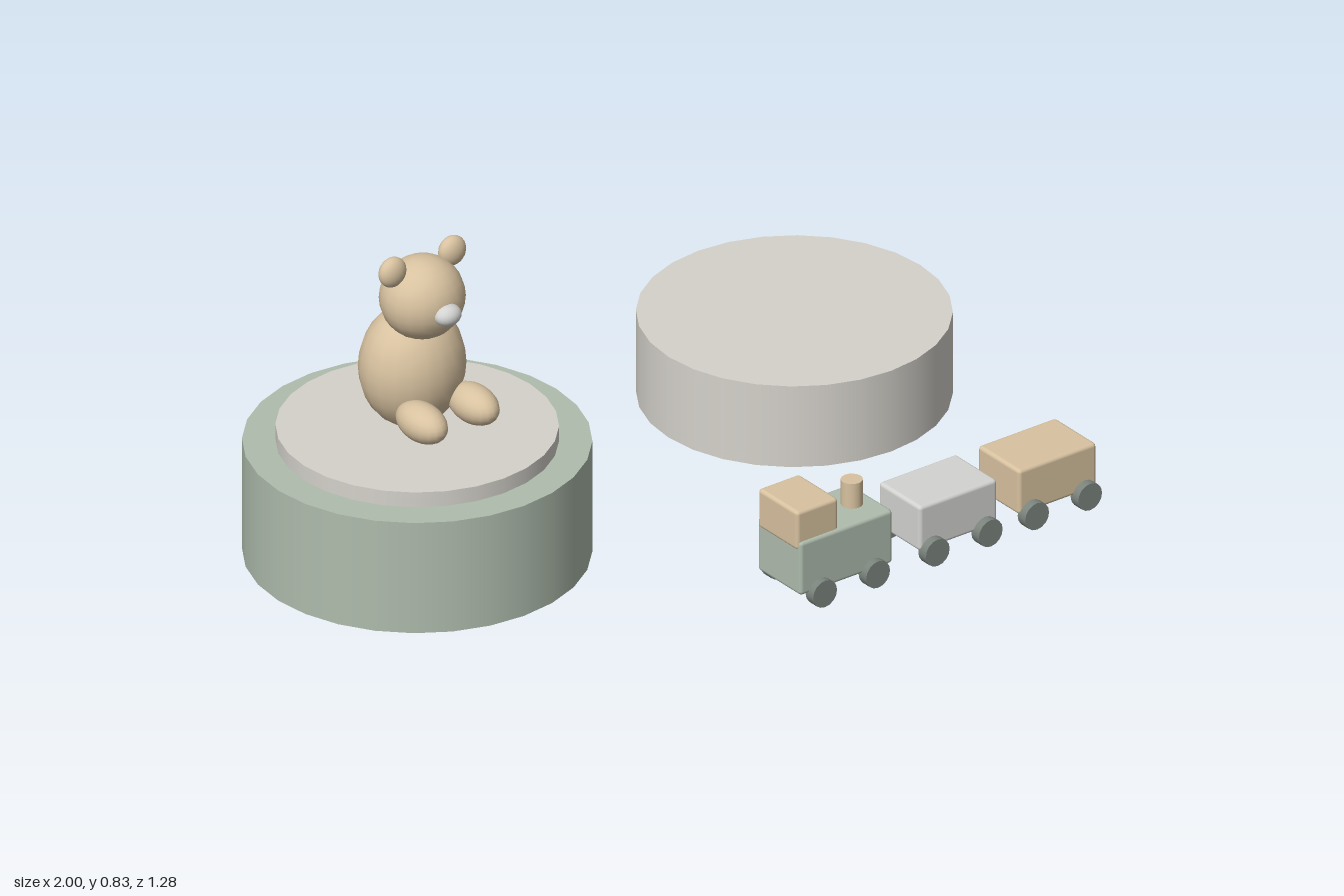
import * as THREE from 'three';
import { RoundedBoxGeometry } from 'three/addons/geometries/RoundedBoxGeometry.js';

const material = (name, color) => {
  const m = new THREE.MeshStandardMaterial({ color });
  m.name = name;
  return m;
};

export function createModel() {
  const sage = material('sage green', 0xafbcad);
  const stone = material('warm stone grey', 0xd5d2cb);
  const tan = material('tan', 0xd8c2a0);
  const silver = material('pale grey', 0xd3d4d1);
  const wheelGrey = material('wheel grey', 0x7c847e);

  const group = (name, parent) => {
    const g = new THREE.Group();
    g.name = name;
    if (parent) parent.add(g);
    return g;
  };
  const add = (parent, name, geometry, mat, x, y, z) => {
    const mesh = new THREE.Mesh(geometry, mat);
    mesh.name = name;
    mesh.position.set(x, y, z);
    parent.add(mesh);
    return mesh;
  };
  // Upright disc standing on height y
  const disc = (parent, name, mat, r, h, x, y, z, sides = 28) =>
    add(parent, name, new THREE.CylinderGeometry(r, r, h, sides), mat, x, y + h / 2, z);
  const ellipsoid = (parent, name, mat, rx, ry, rz, x, y, z) =>
    add(parent, name, new THREE.SphereGeometry(1, 20, 14).scale(rx, ry, rz), mat, x, y, z);
  const block = (parent, name, mat, w, h, d, x, y, z) =>
    add(parent, name, new RoundedBoxGeometry(w, h, d, 2, 0.01), mat, x, y, z);

  const model = group('toyDisplay');

  // Round plinths
  const plinths = group('plinths', model);
  disc(plinths, 'bearPlinth', sage, 0.42, 0.3, -0.58, 0, -0.18);
  disc(plinths, 'bearPlinthTop', stone, 0.34, 0.04, -0.58, 0.3, -0.18);
  disc(plinths, 'emptyPlinth', stone, 0.38, 0.22, 0.62, 0, -0.26);

  // Seated bear
  const bear = group('bear', model);
  bear.position.set(-0.58, 0, 0);
  ellipsoid(bear, 'body', tan, 0.135, 0.16, 0.122, 0, 0.5, -0.2);
  ellipsoid(bear, 'head', tan, 0.106, 0.105, 0.102, 0, 0.7, -0.16);
  ellipsoid(bear, 'muzzle', silver, 0.036, 0.027, 0.03, 0, 0.692, -0.06);
  for (const [side, s] of [['left', 1], ['right', -1]]) {
    ellipsoid(bear, side + 'Ear', tan, 0.038, 0.039, 0.025, s * 0.09, 0.795, -0.16);
    ellipsoid(bear, side + 'Leg', tan, 0.05, 0.048, 0.081, s * 0.078, 0.425, -0.06);
  }

  // Toy train
  const train = group('train', model);
  train.position.z = 0.54;
  const wheelGeometry = new THREE.CylinderGeometry(0.036, 0.036, 0.03, 16).rotateX(Math.PI / 2);
  const carriage = (name, x) => {
    const car = group(name, train);
    car.position.x = x;
    for (const wx of [-0.08, 0.08])
      for (const wz of [-0.089, 0.089]) add(car, 'wheel', wheelGeometry, wheelGrey, wx, 0.036, wz);
    return car;
  };

  const engine = carriage('engine', 0.1);
  block(engine, 'engineBody', sage, 0.28, 0.145, 0.17, 0, 0.1125, 0);
  block(engine, 'cab', tan, 0.125, 0.105, 0.156, -0.082, 0.2145, 0);
  disc(engine, 'chimney', tan, 0.027, 0.075, 0.08, 0.177, 0, 16);

  [[0.44, silver], [0.74, tan]].forEach(([x, mat], i) => {
    const car = carriage('wagon' + (i + 1), x);
    block(car, 'wagonBody', mat, 0.235, 0.122, 0.164, 0, 0.101, 0);
  });

  return model;
}
